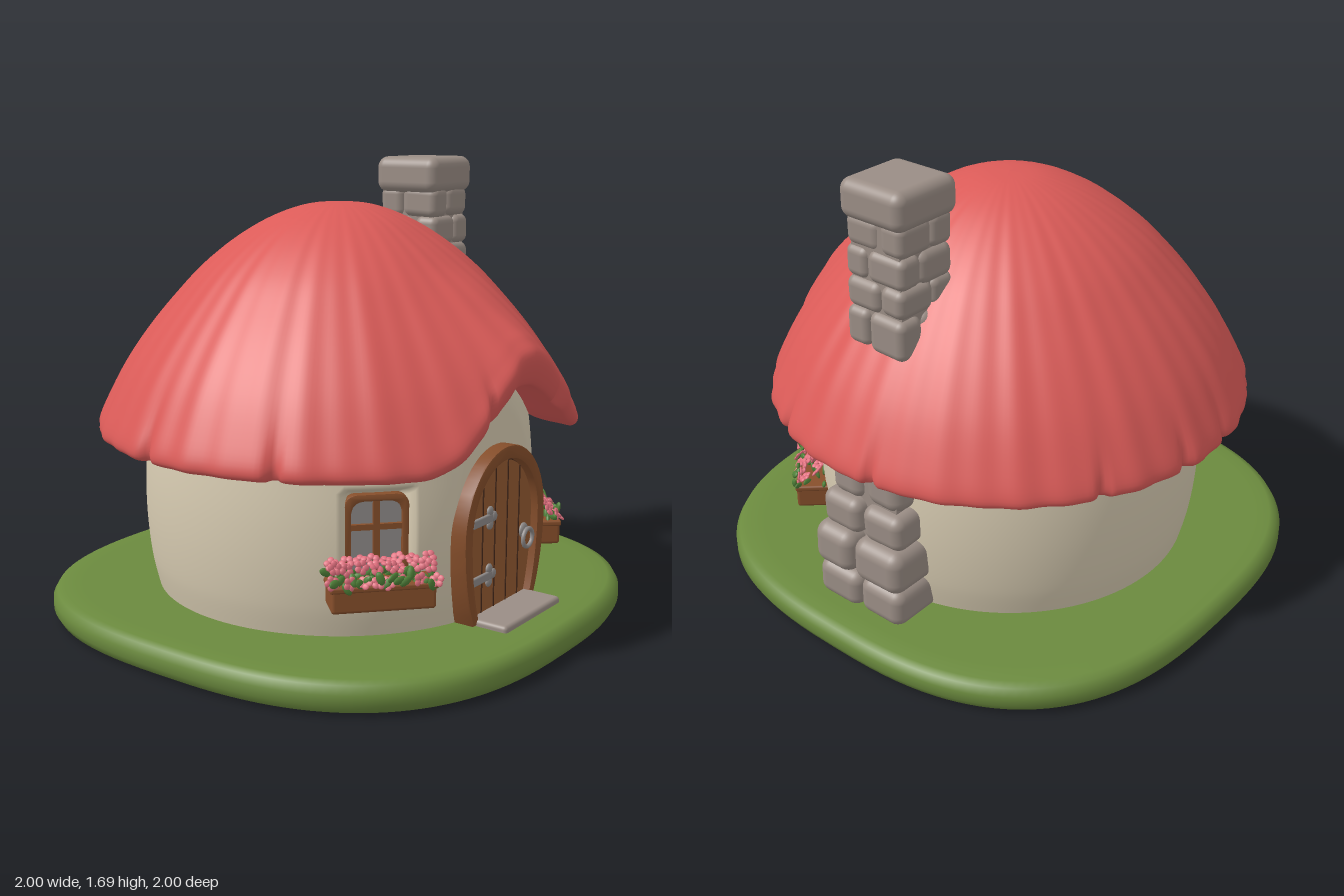
import * as THREE from 'three';
import { mergeGeometries, toCreasedNormals } from 'three/addons/utils/BufferGeometryUtils.js';
import { RoundedBoxGeometry } from 'three/addons/geometries/RoundedBoxGeometry.js';

const colours = {
  grass: 0x6b8a3e, roofRed: 0xdb5b58, plaster: 0xd8ccb2, stone: 0x9a8d85, doorWood: 0x945a32,
  frameWood: 0x874f2b, darkWood: 0x46291a, petalPink: 0xe2707f, leafGreen: 0x4f8038, metalGrey: 0x8f8b8a,
};
const M = {};
for (const [name, hex] of Object.entries(colours)) {
  M[name] = new THREE.MeshStandardMaterial({ color: hex });
  M[name].name = name;
}

let seed = 7;
const rnd = (a, b) => {
  seed = (seed * 16807) % 2147483647;
  return a + (b - a) * (seed / 2147483647);
};

function add(parent, name, geo, mat, x = 0, y = 0, z = 0) {
  const mesh = new THREE.Mesh(geo, mat);
  mesh.name = name;
  mesh.position.set(x, y, z);
  parent.add(mesh);
  return mesh;
}

// Closed surface of rings; angle 0 faces +z, fn(angle, t) gives [x, y, z]
function rings(cols, rows, fn) {
  const pos = [], idx = [];
  for (let j = 0; j <= rows; j++)
    for (let i = 0; i < cols; i++) pos.push(...fn((i / cols) * Math.PI * 2, j / rows));
  for (let j = 0; j < rows; j++)
    for (let i = 0; i < cols; i++) {
      const a = j * cols + i, b = j * cols + ((i + 1) % cols);
      idx.push(a, b, b + cols, a, b + cols, a + cols);
    }
  const g = new THREE.BufferGeometry();
  g.setAttribute('position', new THREE.Float32BufferAttribute(pos, 3));
  g.setIndex(idx);
  g.computeVertexNormals();
  return g;
}

const spline = (pts) => new THREE.SplineCurve(pts.map((p) => new THREE.Vector2(...p)));

// Extrude a shape between two depths, with a small bevel
function slab(shape, z0, z1, bevel = 0) {
  const g = new THREE.ExtrudeGeometry(shape, {
    depth: z1 - z0 - 2 * bevel, bevelEnabled: bevel > 0, bevelSize: bevel, bevelOffset: -bevel,
    bevelThickness: bevel, bevelSegments: 2, curveSegments: 16,
  });
  g.translate(0, 0, z0 + bevel);
  return toCreasedNormals(g, 0.6);
}

const WINDOW_ANGLE = 0.745;

function buildGround(root) {
  const profile = [[0, 0], [0.9, 0], [0.96, 0.002], [0.985, 0.012], [1, 0.04], [1, 0.075],
    [0.985, 0.103], [0.96, 0.113], [0.9, 0.115], [0, 0.115]];
  const pw = (v) => Math.sign(v) * Math.abs(v) ** (2 / 2.7);
  add(root, 'grassBase', rings(128, profile.length - 1, (a, t) => {
    const [r, y] = profile[Math.round(t * (profile.length - 1))];
    return [r * pw(Math.sin(a)), y, r * pw(Math.cos(a))];
  }), M.grass);
}

function buildWall(root) {
  const curve = spline([[0.69, 0.1], [0.717, 0.22], [0.732, 0.36], [0.735, 0.5], [0.727, 0.64], [0.71, 0.78], [0.66, 1.02]]);
  add(root, 'plasterWall', rings(320, 60, (a, t) => {
    const p = curve.getPoint(t);
    const side = Math.abs(a > Math.PI ? a - 2 * Math.PI : a);
    // window recesses
    const d = Math.max(Math.abs(side - WINDOW_ANGLE) * 0.73 - 0.105, Math.abs(p.y - 0.46) - 0.16);
    const r = p.x - 0.06 * (1 - THREE.MathUtils.smoothstep(d, -0.004, 0.018));
    // flattened front behind the door
    return [r * Math.sin(a), p.y, Math.min(r * Math.cos(a), 0.69)];
  }), M.plaster);
}

function buildRoof(root) {
  const eave = spline([[0.66, 0.78], [0.74, 0.73], [0.84, 0.705], [0.885, 0.7], [0.9, 0.735], [0.86, 0.83], [0.79, 0.96],
    [0.7, 1.09], [0.6, 1.21], [0.5, 1.315], [0.38, 1.41], [0.25, 1.485], [0.12, 1.53], [0, 1.54]]);
  const arch = spline([[0.62, 0.98], [0.68, 0.96], [0.76, 0.945], [0.8, 0.95], [0.83, 1.045], [0.79, 1.1], [0.74, 1.14],
    [0.68, 1.185], [0.59, 1.255], [0.49, 1.325], [0.38, 1.405], [0.25, 1.485], [0.12, 1.53], [0, 1.54]]);
  const notches = [[-0.45, -0.76], [-0.12, -0.89], [0.12, -0.88], [0.45, -0.78], [-0.88, -0.16], [0.88, -0.12],
    [-0.82, 0.35], [0.81, 0.35], [-0.23, 0.8], [0.23, 0.8]].map(([x, z]) => Math.atan2(x, z));
  add(root, 'roof', rings(320, 65, (a, t) => {
    const p = eave.getPoint(t), q = arch.getPoint(t);
    // raised brow over the door
    const x = Math.cos(a) > 0 ? Math.min(1, Math.abs(0.86 * Math.sin(a)) / 0.52) : 1;
    p.lerp(q, 0.5 + 0.5 * Math.cos(Math.PI * x));
    // splits in the rim and faint ridges
    let cut = 0;
    for (const n of notches) {
      const d = Math.atan2(Math.sin(a - n), Math.cos(a - n));
      cut = Math.max(cut, Math.exp(-((d / 0.022) ** 2)));
    }
    const rim = Math.exp(-(((t - 0.28) / 0.09) ** 2));
    const ridge = 0.003 * (Math.sin(a * 23 + Math.sin(a * 5)) + Math.sin(a * 41 + t * 4)) * p.x;
    const r = p.x - 0.03 * cut * rim + ridge;
    return [r * Math.sin(a), p.y + 0.012 * cut * rim, r * Math.cos(a)];
  }), M.roofRed);
}

function buildChimney(root) {
  const g = new THREE.Group();
  g.name = 'chimney';
  root.add(g);
  const stone = (x0, x1, y0, y1, z0, z1) => {
    const w = x1 - x0, h = y1 - y0, d = z1 - z0;
    const m = add(g, 'chimneyStone', new RoundedBoxGeometry(w, h, d, 4, Math.min(w, h, d) * 0.3), M.stone,
      (x0 + x1) / 2, (y0 + y1) / 2, (z0 + z1) / 2);
    m.rotation.set(rnd(-0.05, 0.05), rnd(-0.05, 0.05), rnd(-0.04, 0.04));
  };
  // lower stack against the wall: bottom, top, reach, half width, split
  for (const [y0, y1, x1, hz, s] of [[0.1, 0.25, 0.865, 0.2, 0.0], [0.24, 0.41, 0.875, 0.205, 0.02],
    [0.4, 0.54, 0.835, 0.185, 0.0], [0.53, 0.74, 0.805, 0.16, 0.01]]) {
    stone(0.62, x1, y0, y1, s, hz);
    stone(0.62, x1 - 0.01, y0, y1, -hz, s);
  }
  add(g, 'lowerCore', new THREE.BoxGeometry(0.18, 0.7, 0.28), M.stone, 0.69, 0.45, 0);
  // upper stack through the roof
  [1.1, 1.235, 1.345, 1.455, 1.57].forEach((y0, i, ys) => {
    if (i === 4) return;
    const y1 = ys[i + 1] + 0.005, s = i % 2 ? -0.025 : 0.03, e = 0.71 - 0.005 * i;
    for (const [x0, x1] of [[0.445, 0.575 + s], [0.57 + s, e]]) {
      stone(x0, x1, y0, y1, s, 0.132);
      stone(x0, x1, y0 + rnd(-0.015, 0.01), y1, -0.132, s);
    }
  });
  add(g, 'upperCore', new THREE.BoxGeometry(0.22, 0.42, 0.22), M.stone, 0.575, 1.35, 0);
  add(g, 'chimneyCap', new RoundedBoxGeometry(0.29, 0.14, 0.285, 5, 0.042), M.stone, 0.567, 1.62, 0);
}

function buildDoor(root) {
  const g = new THREE.Group();
  g.name = 'door';
  root.add(g);
  // horseshoe outline inset by o, from lower right over the top to lower left
  const halfWidth = (y, o) => (0.275 - o) * Math.sqrt(Math.max(0, 1 - ((y - 0.43) / (y > 0.43 ? 0.29 - o : 0.485)) ** 2));
  const outline = (o) => {
    const right = [];
    for (let i = 0; i < 8; i++) right.push(0.115 + (0.315 * i) / 8);
    for (let i = 0; i <= 16; i++) right.push(0.43 + (0.29 - o) * Math.sin((i / 16) * Math.PI / 2));
    const pts = right.map((y) => new THREE.Vector2(halfWidth(y, o), y));
    return [...pts, ...pts.slice(0, -1).reverse().map((p) => new THREE.Vector2(-p.x, p.y))];
  };
  add(g, 'doorFrame', slab(new THREE.Shape([...outline(0), ...outline(0.05).reverse()]), 0.62, 0.742, 0.008), M.frameWood);
  add(g, 'doorGap', slab(new THREE.Shape(outline(0.046)), 0.66, 0.705), M.darkWood);
  add(g, 'doorPanel', slab(new THREE.Shape(outline(0.056)), 0.66, 0.716), M.doorWood);
  for (const x of [-0.125, -0.042, 0.042, 0.125]) {
    const top = 0.43 + 0.234 * Math.sqrt(1 - (x / 0.219) ** 2);
    add(g, 'plankGroove', new THREE.BoxGeometry(0.006, top - 0.13, 0.004), M.darkWood, x, (top + 0.13) / 2, 0.7165);
  }
  // strap hinges
  for (const y of [0.475, 0.265]) {
    add(g, 'hingeStrap', new RoundedBoxGeometry(0.13, 0.032, 0.014, 2, 0.006), M.metalGrey, -0.135, y, 0.721);
    for (const [dx, dy] of [[0, 0.024], [0, -0.024], [0.026, 0]]) {
      const lobe = add(g, 'hingeLobe', new THREE.SphereGeometry(0.019, 12, 8), M.metalGrey, -0.082 + dx, y + dy, 0.72);
      lobe.scale.z = 0.5;
    }
  }
  // ring handle
  const plate = add(g, 'handlePlate', new THREE.SphereGeometry(0.028, 16, 10), M.metalGrey, 0.16, 0.37, 0.718);
  plate.scale.z = 0.5;
  add(g, 'handleRing', new THREE.TorusGeometry(0.034, 0.008, 8, 24), M.metalGrey, 0.16, 0.345, 0.738);
  add(g, 'doorstep', new RoundedBoxGeometry(0.39, 0.045, 0.17, 3, 0.014), M.stone, 0, 0.115, 0.775);
}

function buildWindow(root, side) {
  const g = new THREE.Group();
  g.name = side > 0 ? 'leftWindow' : 'rightWindow';
  g.rotation.y = side * WINDOW_ANGLE;
  root.add(g);
  const pane = (path, o) => {
    const w = 0.112 - o, top = 0.615 - o, low = 0.32 + o;
    path.moveTo(-w, low).lineTo(w, low).lineTo(w, top - 0.05);
    path.quadraticCurveTo(w, top, w - 0.05, top).lineTo(-w + 0.05, top);
    path.quadraticCurveTo(-w, top, -w, top - 0.05);
    return path;
  };
  const frame = pane(new THREE.Shape(), 0);
  frame.holes.push(pane(new THREE.Path(), 0.024));
  add(g, 'windowFrame', slab(frame, 0.665, 0.702, 0.004), M.frameWood);
  add(g, 'windowGlass', slab(pane(new THREE.Shape(), 0.01), 0.674, 0.682), M.metalGrey);
  add(g, 'windowMullion', new THREE.BoxGeometry(0.022, 0.26, 0.018), M.frameWood, 0, 0.468, 0.688);
  add(g, 'windowCrossbar', new THREE.BoxGeometry(0.19, 0.02, 0.016), M.frameWood, 0, 0.5, 0.688);

  // planter
  add(g, 'flowerBox', new RoundedBoxGeometry(0.355, 0.085, 0.125, 3, 0.012), M.frameWood, 0, 0.29, 0.765);
  add(g, 'flowerBoxRim', new RoundedBoxGeometry(0.365, 0.022, 0.133, 2, 0.008), M.frameWood, 0, 0.33, 0.765);

  // flowers and leaves, each merged into one mesh
  const petals = [], leaves = [];
  const dummy = new THREE.Object3D();
  const place = (list, geo, matrix) => list.push(geo.applyMatrix4(matrix));
  for (let row = 0; row < 3; row++)
    for (let i = 0; i < 8; i++) {
      dummy.position.set(-0.165 + 0.047 * i + rnd(-0.012, 0.012), 0.352 + [0, 0.035, 0.05][row] + rnd(-0.008, 0.012),
        0.825 - 0.036 * row + rnd(-0.01, 0.01));
      dummy.rotation.set(rnd(-0.9, -0.1) - 0.2 * row, rnd(-0.5, 0.5), rnd(0, 1.2));
      dummy.updateMatrix();
      for (let k = 0; k < 5; k++) {
        const a = (k * Math.PI * 2) / 5;
        const petal = new THREE.SphereGeometry(0.0125, 7, 5).scale(1, 1, 0.45);
        place(petals, petal.translate(0.0145 * Math.cos(a), 0.0145 * Math.sin(a), 0), dummy.matrix);
      }
    }
  for (let i = 0; i < 34; i++) {
    dummy.position.set(-0.18 + (0.36 * i) / 33, rnd(0.335, 0.375), i % 2 ? rnd(0.8, 0.838) : rnd(0.72, 0.79));
    dummy.rotation.set(rnd(-0.7, 0.3), rnd(-0.6, 0.6), rnd(-1.4, 1.4));
    dummy.updateMatrix();
    place(leaves, new THREE.SphereGeometry(0.022, 8, 6).scale(0.65, 1.1, 0.35), dummy.matrix);
  }
  add(g, 'flowers', mergeGeometries(petals), M.petalPink);
  add(g, 'leaves', mergeGeometries(leaves), M.leafGreen);
}

export function createModel() {
  seed = 7;
  const root = new THREE.Group();
  root.name = 'cottage';
  buildGround(root);
  buildWall(root);
  buildRoof(root);
  buildChimney(root);
  buildDoor(root);
  for (const side of [1, -1]) buildWindow(root, side);
  return root;
}
